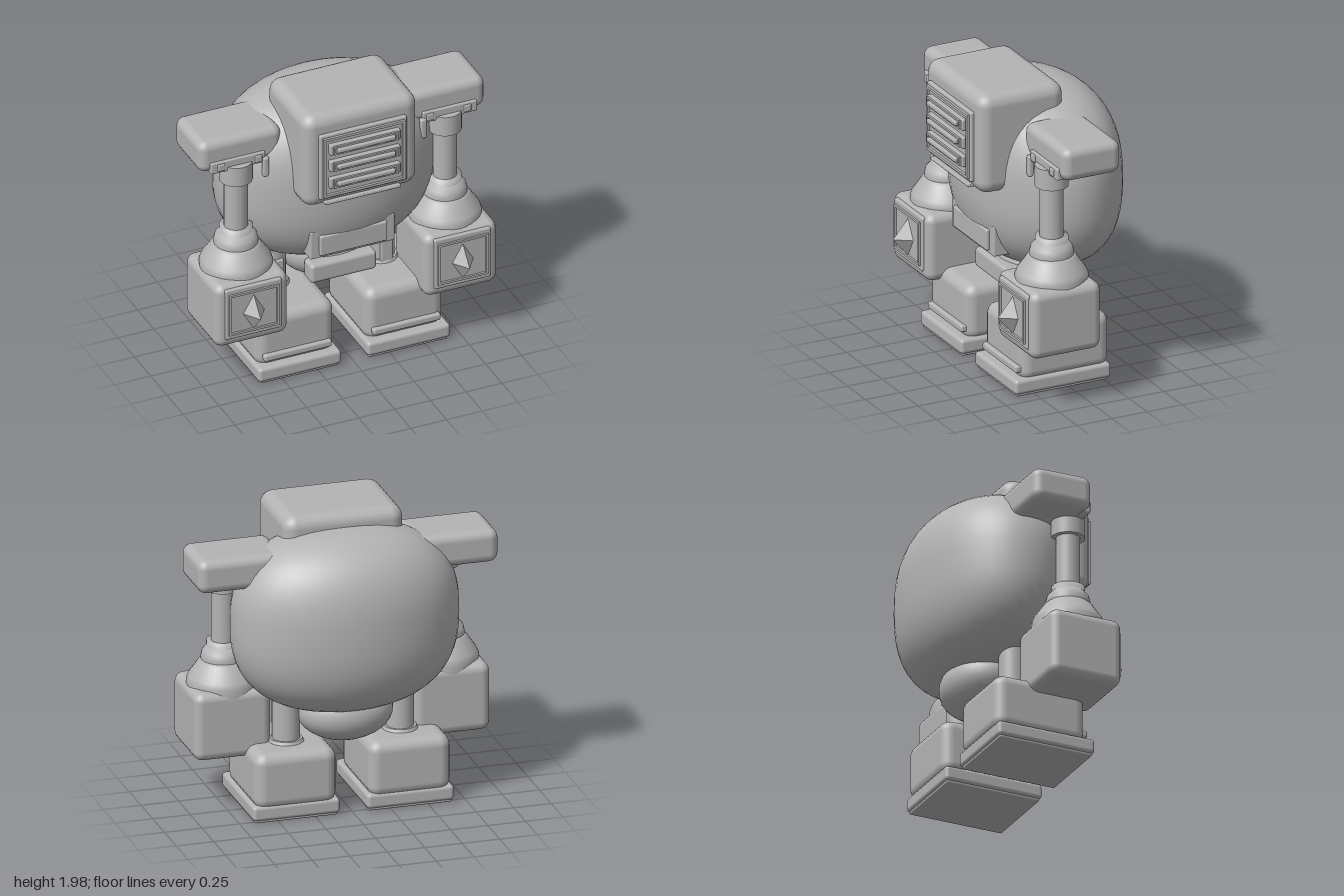
import * as THREE from 'three';
import { RoundedBoxGeometry } from 'three/addons/geometries/RoundedBoxGeometry.js';

const grey = new THREE.MeshStandardMaterial({ color: 0xb4b4b4 });
grey.name = 'plain grey';

function add(parent, name, geometry, x = 0, y = 0, z = 0) {
  const mesh = new THREE.Mesh(geometry, grey);
  mesh.name = name;
  mesh.position.set(x, y, z);
  parent.add(mesh);
  return mesh;
}

// Rounded block given by its limits on each axis
function block(parent, name, [x0, x1], [y0, y1], [z0, z1], r) {
  return add(parent, name, new RoundedBoxGeometry(x1 - x0, y1 - y0, z1 - z0, 3, r),
    (x0 + x1) / 2, (y0 + y1) / 2, (z0 + z1) / 2);
}

function lathe(parent, name, points, x, z) {
  return add(parent, name, new THREE.LatheGeometry(points.map(p => new THREE.Vector2(...p)), 32), x, 0, z);
}

// Four thin bars around a rectangle
function frame(parent, name, w, h, t, x, y, z, depth) {
  for (const s of [-1, 1]) {
    add(parent, name, new THREE.BoxGeometry(w, t, depth), x, y + s * (h - t) / 2, z);
    add(parent, name, new THREE.BoxGeometry(t, h - 2 * t, depth), x + s * (w - t) / 2, y, z);
  }
}

function buildBody(root) {
  // Boxy egg: superelliptic upright profile, elliptical plan
  const profile = [];
  for (let i = 0; i <= 28; i++) {
    const a = -Math.PI / 2 + Math.PI * i / 28, e = 2 / 2.55;
    profile.push(new THREE.Vector2(
      i % 28 ? 0.75 * Math.pow(Math.cos(a), e) : 0,
      0.605 * Math.sign(a) * Math.pow(Math.abs(Math.sin(a)), e)));
  }
  const body = new THREE.LatheGeometry(profile, 48);
  body.scale(1, 1, 0.5 / 0.75);
  add(root, 'body', body, 0, 1.28, -0.09);

  const pelvis = new THREE.SphereGeometry(1, 32, 20);
  pelvis.scale(0.315, 0.2, 0.26);
  add(root, 'pelvis', pelvis, 0, 0.65, -0.09);
  block(root, 'beltPlate', [-0.23, 0.23], [0.55, 0.685], [0.1, 0.225], 0.025);

  block(root, 'chestPlate', [-0.295, 0.295], [0.825, 1.03], [0.2, 0.355], 0.012);
  block(root, 'chestPanel', [-0.235, 0.235], [0.85, 0.995], [0.25, 0.378], 0.012);
}

function buildHead(root) {
  const head = new THREE.Group();
  head.name = 'head';
  root.add(head);
  block(head, 'headShell', [-0.4, 0.4], [1.3, 1.98], [-0.11, 0.5], 0.085);
  // Stepped face panel with three slotted bars
  block(head, 'facePlate', [-0.305, 0.305], [1.375, 1.855], [0.45, 0.525], 0.012);
  frame(head, 'faceFrame', 0.57, 0.44, 0.018, 0, 1.615, 0.53, 0.024);
  for (const y of [1.75, 1.627, 1.5]) {
    block(head, 'slotBase', [-0.245, 0.245], [y - 0.038, y + 0.038], [0.5, 0.555], 0.008);
    frame(head, 'slotFrame', 0.45, 0.062, 0.012, 0, y, 0.56, 0.016);
    block(head, 'slotBar', [-0.2, 0.2], [y - 0.015, y + 0.015], [0.53, 0.585], 0.008);
  }
  block(head, 'chinStrip', [-0.265, 0.265], [1.326, 1.344], [0.47, 0.522], 0.006);
}

function buildArm(side) {
  const arm = new THREE.Group();
  arm.name = side > 0 ? 'leftArm' : 'rightArm';
  const x = side * 0.73, z = 0.165;
  const span = (a, b) => side > 0 ? [a, b] : [-b, -a];

  // Shoulder with its front bracket and hanging latch
  block(arm, 'shoulder', span(0.42, 1), [1.56, 1.785], [-0.2, 0.21], 0.06);
  block(arm, 'shoulderBracket', span(0.55, 0.93), [1.56, 1.64], [0.17, 0.228], 0.01);
  for (const dx of [-0.13, 0.13])
    block(arm, 'bracketStud', [x + dx - 0.025, x + dx + 0.025], [1.575, 1.625], [0.21, 0.238], 0.008);
  block(arm, 'latch', span(0.528, 0.572), [1.455, 1.6], [0.205, 0.245], 0.015);

  // Upper collar, rod and flared cuff
  add(arm, 'shoulderCollar', new THREE.CylinderGeometry(0.108, 0.108, 0.14, 32), x, 1.52, z);
  add(arm, 'armRod', new THREE.CylinderGeometry(0.077, 0.077, 0.5, 32), x, 1.28, z);
  lathe(arm, 'cuffCollar', [[0.107, 1.0], [0.107, 1.105], [0, 1.105]], x, z);
  lathe(arm, 'cuffRing', [[0.143, 0.97], [0.143, 1.0], [0.135, 1.035], [0.105, 1.07], [0.06, 1.08]], x, z);
  lathe(arm, 'cuffBell', [[0.235, 0.78], [0.236, 0.84], [0.222, 0.875], [0.19, 0.92],
    [0.16, 0.965], [0.14, 0.985], [0.08, 0.99]], x, z);

  // Fist block with framed panel and pointed stud
  block(arm, 'fist', span(0.475, 0.985), [0.37, 0.83], [-0.07, 0.43], 0.06);
  block(arm, 'fistPlate', [x - 0.197, x + 0.197], [0.435, 0.805], [0.38, 0.442], 0.012);
  frame(arm, 'fistFrame', 0.35, 0.3, 0.015, x, 0.62, 0.446, 0.02);
  const stud = new THREE.ConeGeometry(1, 0.11, 4).toNonIndexed();
  stud.rotateX(Math.PI / 2);
  stud.scale(0.075, 0.13, 1);
  stud.computeVertexNormals();
  add(arm, 'fistStud', stud, x, 0.605, 0.495);
  return arm;
}

function buildLeg(side) {
  const leg = new THREE.Group();
  leg.name = side > 0 ? 'leftLeg' : 'rightLeg';
  const x = side * 0.38;
  add(leg, 'legRod', new THREE.CylinderGeometry(0.09, 0.09, 0.4, 32), x, 0.6, -0.055);
  block(leg, 'legRib', [x - 0.04, x + 0.04], [0.46, 0.67], [0, 0.05], 0.01);
  add(leg, 'ankleRing', new THREE.CylinderGeometry(0.105, 0.12, 0.03, 32), x, 0.465, -0.055);
  block(leg, 'boot', [x - 0.273, x + 0.273], [0.08, 0.46], [-0.3, 0.335], 0.075);
  block(leg, 'toeStrip', [x - 0.235, x + 0.235], [0.142, 0.192], [0.31, 0.363], 0.015);
  block(leg, 'sole', [x - 0.29, x + 0.29], [0.015, 0.115], [-0.295, 0.39], 0.025);
  block(leg, 'solePad', [x - 0.275, x + 0.275], [0, 0.06], [-0.28, 0.375], 0.01);
  return leg;
}

export function createModel() {
  const root = new THREE.Group();
  root.name = 'robot';
  buildBody(root);
  buildHead(root);
  for (const side of [-1, 1]) root.add(buildArm(side), buildLeg(side));
  return root;
}
